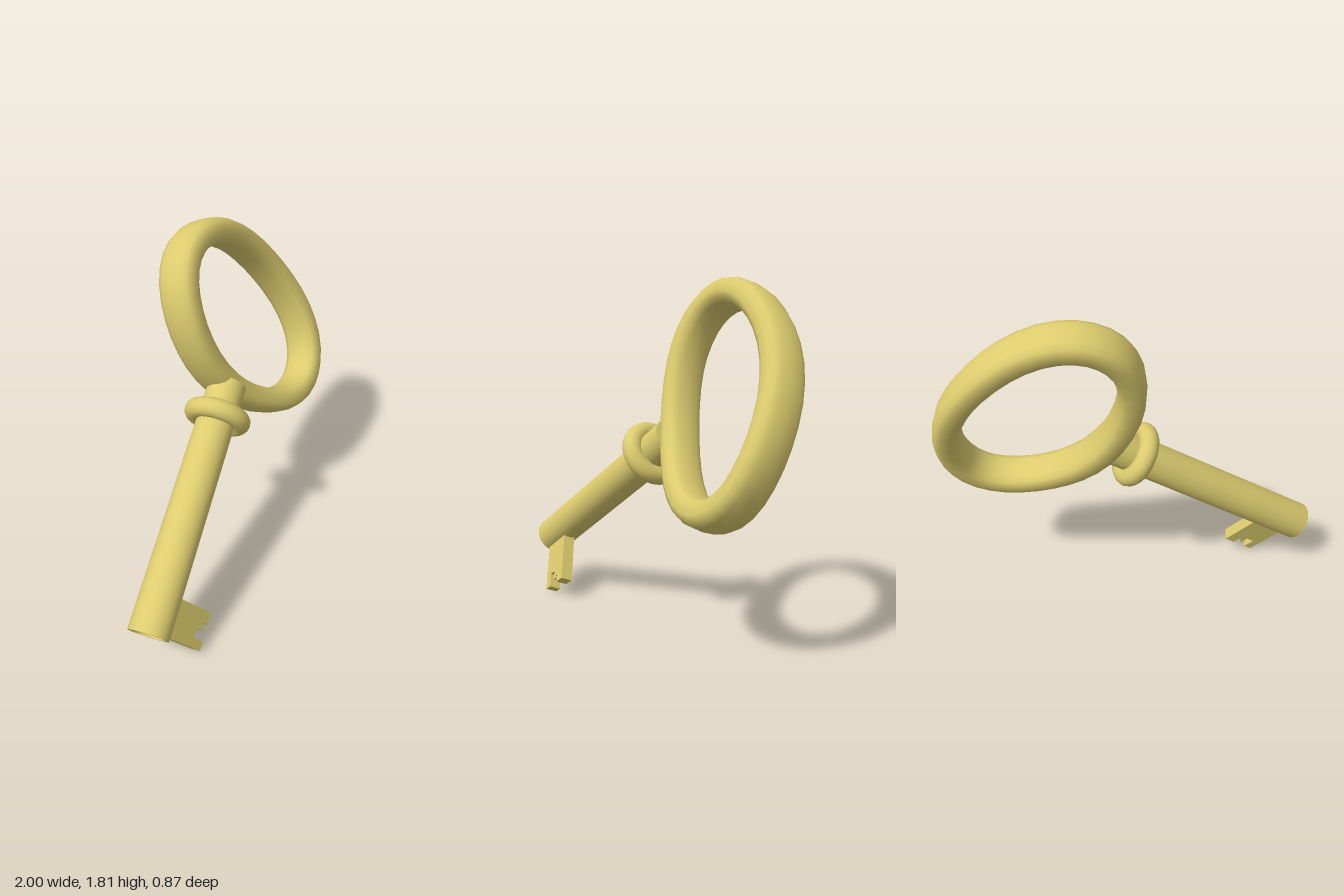
import * as THREE from 'three';
import { toCreasedNormals } from 'three/addons/utils/BufferGeometryUtils.js';

const v2 = (x, y) => new THREE.Vector2(x, y);

// Oval band: a soft-cornered section swept round an ellipse in the XY plane,
// with both sides set back by "sag"
function ovalBand(rx, ry, halfRadial, halfAxial, sag, segments, sides) {
  const pos = [], index = [];
  const soft = (v) => Math.sign(v) * Math.pow(Math.abs(v), 0.76);
  for (let i = 0; i < segments; i++) {
    const u = (i / segments) * Math.PI * 2;
    const c = Math.cos(u), s = Math.sin(u);
    const n = v2(c * ry, s * rx).normalize();
    const back = sag * Math.pow(c, 4);
    for (let j = 0; j < sides; j++) {
      const w = (j / sides) * Math.PI * 2;
      const r = halfRadial * soft(Math.cos(w));
      pos.push(rx * c + n.x * r, ry * s + n.y * r, halfAxial * soft(Math.sin(w)) - back);
      const i2 = (i + 1) % segments, j2 = (j + 1) % sides;
      const a = i * sides + j, b = i2 * sides + j, d = i2 * sides + j2, e = i * sides + j2;
      index.push(a, b, d, a, d, e);
    }
  }
  const g = new THREE.BufferGeometry();
  g.setAttribute('position', new THREE.Float32BufferAttribute(pos, 3));
  g.setIndex(index);
  g.computeVertexNormals();
  return g;
}

export function createModel() {
  const brass = new THREE.MeshStandardMaterial({ color: 0xdccb6e });
  brass.name = 'brass';

  const key = new THREE.Group();
  key.name = 'key';
  const add = (name, geometry, x = 0) => {
    const m = new THREE.Mesh(geometry, brass);
    m.name = name;
    m.position.x = x;
    key.add(m);
    return m;
  };

  // Hollow shaft along +X, open at the tip
  const shaft = new THREE.LatheGeometry(
    [v2(0, 0.5), v2(0.083, 0.5), v2(0.083, 0), v2(0.105, 0), v2(0.1, 1.34), v2(0, 1.34)], 32);
  shaft.rotateZ(-Math.PI / 2);
  add('shaft', toCreasedNormals(shaft, 0.7));

  // Collar ring
  const collar = new THREE.TorusGeometry(0.125, 0.052, 14, 32);
  collar.rotateY(Math.PI / 2);
  add('collar', collar, 1.15);

  // Oval bow, turned slightly about its long axis
  const bow = add('bow', ovalBand(0.388, 0.602, 0.071, 0.105, 0.04, 36, 14), 1.738);
  bow.position.y = -0.006;
  bow.position.z = -0.008;
  bow.rotation.y = 0.03;

  // Bit plate with notched edge
  const bitShape = new THREE.Shape([
    v2(0.02, -0.09), v2(0.02, -0.374), v2(0.068, -0.374), v2(0.068, -0.295),
    v2(0.115, -0.295), v2(0.115, -0.345), v2(0.135, -0.345), v2(0.135, -0.33),
    v2(0.152, -0.33), v2(0.152, -0.374), v2(0.217, -0.374), v2(0.217, -0.09),
  ]);
  const bit = new THREE.ExtrudeGeometry(bitShape, { depth: 0.066, bevelEnabled: false });
  bit.translate(0, 0, -0.033);
  add('bit', bit);

  // Tilt the key into its resting pose
  const axis = new THREE.Vector3(0.799, 0.543, -0.256).normalize();
  const normal = new THREE.Vector3(0.061, 0.351, 0.933);
  const up = normal.clone().cross(axis).normalize();
  normal.crossVectors(axis, up);
  key.quaternion.setFromRotationMatrix(new THREE.Matrix4().makeBasis(axis, up, normal));
  key.position.set(-0.935, 0.29, 0.31);

  const model = new THREE.Group();
  model.name = 'model';
  model.add(key);
  return model;
}
